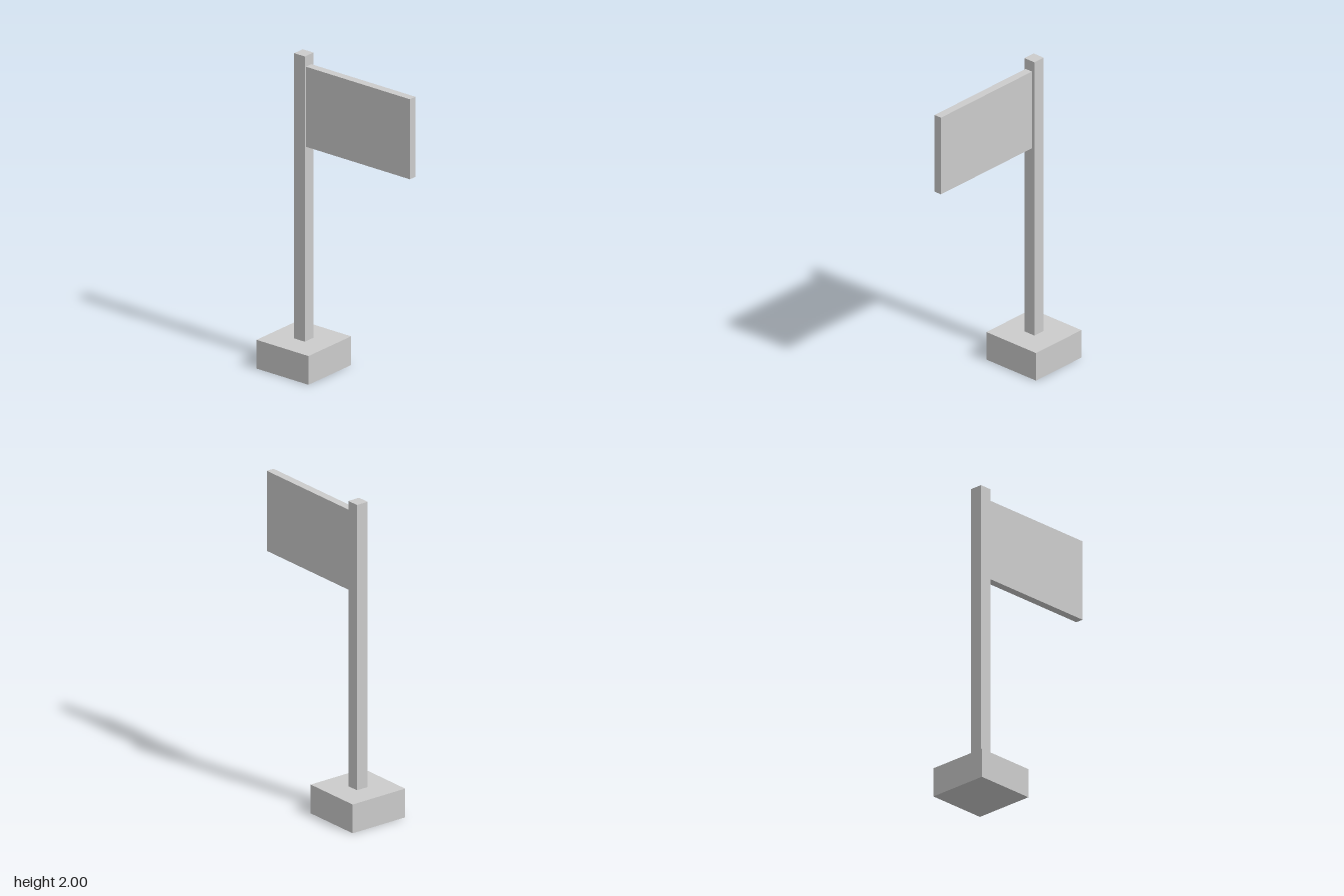
import * as THREE from 'three';

export function createModel() {
  const group = new THREE.Group();
  const material = new THREE.MeshStandardMaterial({ color: 0xcccccc, flatShading: true });

  // Adds a box spanning the given min and max corners
  function addBox(name, min, max) {
    const size = max.map((v, i) => v - min[i]);
    const mesh = new THREE.Mesh(new THREE.BoxGeometry(...size), material);
    mesh.position.set(...max.map((v, i) => (v + min[i]) / 2));
    mesh.name = name;
    group.add(mesh);
  }

  // Square foot block
  addBox('base', [-0.517, 0, -0.198], [-0.121, 0.183, 0.198]);
  // Upright post standing on the base
  addBox('pole', [-0.36, 0.183, -0.04], [-0.279, 2, 0.04]);
  // Flat panel fixed to the post's left side, slightly forward of centre
  addBox('flag', [-0.279, 1.422, -0.021], [0.515, 1.932, 0.03]);

  return group;
}
